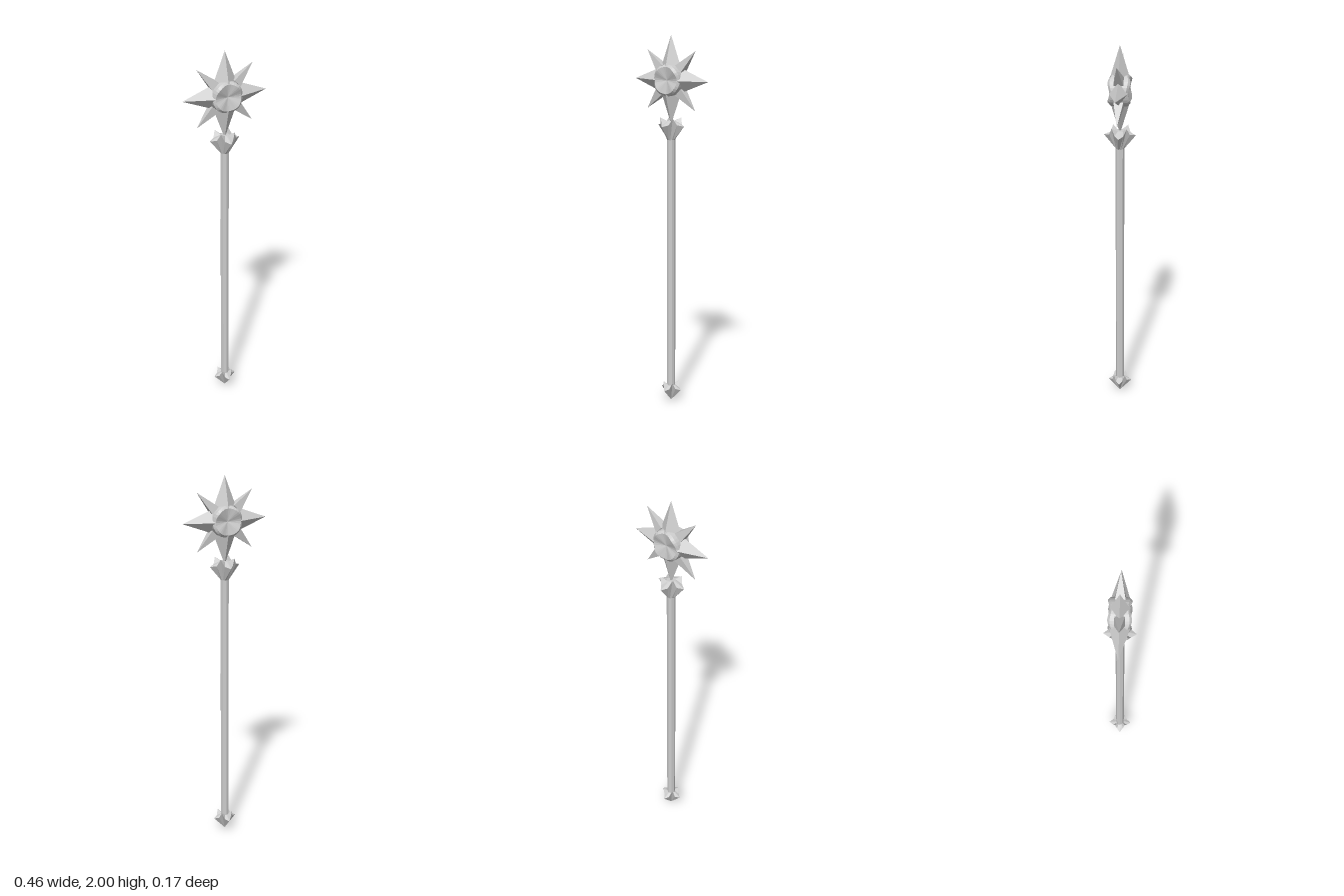
import * as THREE from 'three';

const material = new THREE.MeshStandardMaterial({ color: 0xcccccc, flatShading: true });

function part(name, geometry, parent) {
  const mesh = new THREE.Mesh(geometry, material);
  mesh.name = name;
  parent.add(mesh);
  return mesh;
}

// Closed rings stacked along y; each row maps an angle to [radius, height]
function loft(rows, n) {
  const positions = [], index = [];
  rows.forEach((row, i) => {
    for (let j = 0; j < n; j++) {
      const a = (j / n) * Math.PI * 2;
      const [r, y] = row(a, j);
      positions.push(r * Math.sin(a), y, r * Math.cos(a));
      if (i === rows.length - 1) continue;
      const p = i * n + j, q = i * n + (j + 1) % n;
      index.push(p, q, q + n, p, q + n, p + n);
    }
  });
  const g = new THREE.BufferGeometry();
  g.setAttribute('position', new THREE.Float32BufferAttribute(positions, 3));
  g.setIndex(index);
  g.computeVertexNormals();
  return g;
}

// Crown with four low outward points and four raised corners between them
function crown(bottomRadius) {
  const rim = [[0.083, 0.075], [0.058, 0.082], [0.055, 0.118], [0.058, 0.082]];
  return loft([
    () => [0, 0],
    () => [bottomRadius, 0],
    (a, j) => rim[j % 4],
    () => [0.022, 0.1],
    () => [0, 0.1],
  ], 16);
}

// Pyramid spike pointing up, from height base to height tip
function spike(base, tip, halfX, halfZ, turn) {
  return new THREE.ConeGeometry(1, tip - base, 4)
    .rotateY(turn)
    .scale(halfX, 1, halfZ)
    .translate(0, (base + tip) / 2, 0);
}

export function createModel() {
  const model = new THREE.Group();
  model.name = 'mace';

  // Shaft with a crown at each end
  part('shaft', new THREE.CylinderGeometry(0.023, 0.023, 1.47, 8).translate(0, 0.8, 0), model);
  part('collar', crown(0.022), model).position.y = 1.455;
  part('pommel', crown(0), model).scale.set(0.78, 0.92, 0.78);

  // Star head
  const head = new THREE.Group();
  head.name = 'head';
  head.position.y = 1.768;
  model.add(head);

  for (let i = 0; i < 4; i++) {
    const main = part('mainSpike', spike(0.07, 0.232, 0.062, 0.049, 0), head);
    main.rotation.z = i * Math.PI / 2;
    const side = part('diagonalSpike', spike(0.085, 0.218, 0.035, 0.035, Math.PI / 4), head);
    side.rotation.z = (i + 0.5) * Math.PI / 2;
  }

  // Dished boss whose rim swells between the main spikes
  const rim = (a) => 0.047 + 0.011 * Math.sin(2 * a) ** 2;
  const boss = loft([
    () => [0, -0.036],
    (a) => [0.07, -rim(a)],
    (a) => [0.082, -rim(a) * 0.8],
    () => [0.085, 0],
    (a) => [0.082, rim(a) * 0.8],
    (a) => [0.07, rim(a)],
    () => [0, 0.036],
  ], 32).rotateX(Math.PI / 2);
  part('boss', boss, head);

  return model;
}
